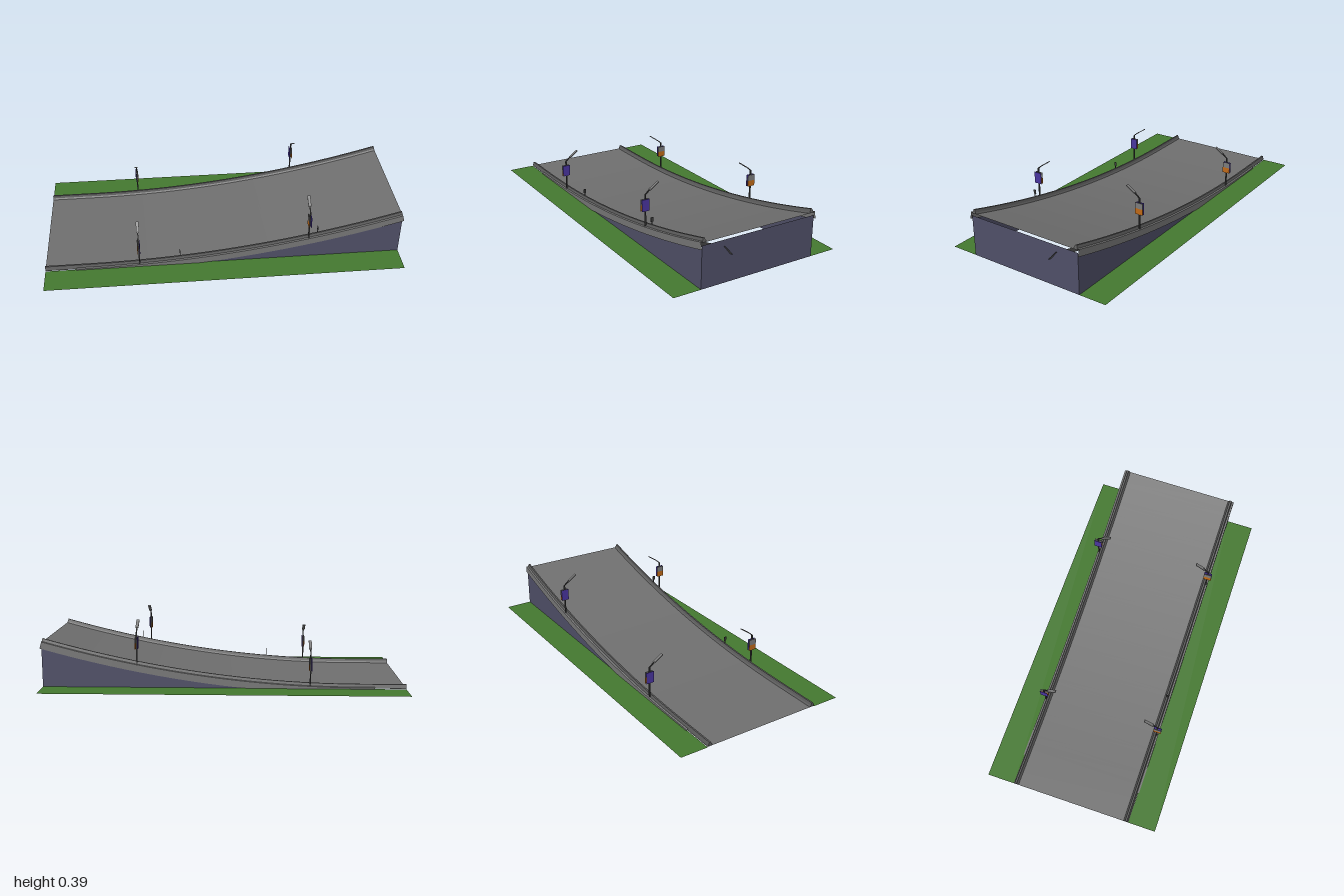
import * as THREE from 'three';

const mat = (name, color, side = THREE.DoubleSide) => {
  const m = new THREE.MeshStandardMaterial({ color, side });
  m.name = name;
  return m;
};

const GROUND = 0.03, END = 0.975, HALF = 0.34;

// Height and slope of the road along x: level, then a rising parabola
const roadY = x => 0.033 + 0.0813 * Math.max(0, x + 0.75) ** 2;
const slope = x => 0.1626 * Math.max(0, x + 0.75);

// Point of the road's cross-section: d is measured square to the road
function station(x, z, d) {
  const s = slope(x), l = Math.hypot(s, 1);
  return [x - (s / l) * d, roadY(x) + d / l, z];
}

// Sweep a [z, d] profile along the road, with hard edges between its sides
function sweep(profile, x0, x1, { floor = -1, cap = false } = {}) {
  const steps = 28, pos = [], idx = [];
  const put = (x, [z, d]) => {
    const p = station(x, z, d);
    p[1] = Math.max(p[1], floor);
    pos.push(...p);
    return pos.length / 3 - 1;
  };
  for (let k = 0; k < profile.length - 1; k++) {
    const base = pos.length / 3;
    for (let i = 0; i <= steps; i++) {
      const x = x0 + ((x1 - x0) * i) / steps;
      put(x, profile[k]);
      put(x, profile[k + 1]);
      if (i < steps) {
        const a = base + 2 * i;
        idx.push(a, a + 2, a + 1, a + 1, a + 2, a + 3);
      }
    }
  }
  if (cap) for (const x of [x0, x1]) {
    const ids = profile.map(p => put(x, p));
    for (let k = 1; k < ids.length - 1; k++) {
      if (x === x1) idx.push(ids[0], ids[k + 1], ids[k]);
      else idx.push(ids[0], ids[k], ids[k + 1]);
    }
  }
  const g = new THREE.BufferGeometry();
  g.setAttribute('position', new THREE.Float32BufferAttribute(pos, 3));
  g.setIndex(idx);
  g.computeVertexNormals();
  return g;
}

const mirror = (profile, side) =>
  side > 0 ? profile : profile.map(([z, d]) => [-z, d]).reverse();

export function createModel() {
  const root = new THREE.Group();
  root.name = 'rampBridge';
  const M = {
    road: mat('asphalt grey', 0x707070),
    barrier: mat('barrier grey', 0x5c5c5c),
    fascia: mat('concrete grey', 0x787878),
    girder: mat('underside grey', 0x686868, THREE.FrontSide),
    wall: mat('abutment slate', 0x505068),
    grass: mat('grass green', 0x457a30),
    metal: mat('dark metal', 0x3c3c3c),
    violet: mat('sign violet', 0x4a35a0),
    grey: mat('sign grey', 0x7c7c7c),
    orange: mat('sign orange', 0xc06a18),
  };
  const add = (name, geo, m, parent = root) => {
    const mesh = new THREE.Mesh(geo, m);
    mesh.name = name;
    parent.add(mesh);
    return mesh;
  };
  const box = (name, size, at, m, parent) => {
    const b = add(name, new THREE.BoxGeometry(...size), m, parent);
    b.position.set(...at);
    return b;
  };

  // Carriageway
  add('roadSurface', sweep([[HALF, 0], [-HALF, 0]], -1, END), M.road);

  // Box girder below: sloping wings, then a trapezoid that stops at the ground
  const wing = [[0.215, -0.046], [HALF, -0.031]];
  for (const s of [1, -1]) add('girderWing', sweep(mirror(wing, s), -0.17, END), M.girder);
  add('girderBox', sweep([[-0.215, -0.046], [-0.175, -0.096], [0.175, -0.096], [0.215, -0.046]],
    -0.17, END, { floor: GROUND }), M.girder);

  // Abutment end wall
  const end = add('endWall', new THREE.PlaneGeometry(2 * HALF, 0.23), M.wall);
  end.rotation.y = Math.PI / 2;
  end.position.set(END, GROUND + 0.115, 0);

  // Side wall outline follows the underside of the deck
  const wallShape = new THREE.Shape();
  wallShape.moveTo(END, GROUND);
  for (let i = 0; i <= 20; i++) {
    const x = END - (i / 20) * (END + 0.17);
    wallShape.lineTo(x, Math.max(GROUND, roadY(x) - 0.031));
  }

  for (const s of [1, -1]) {
    // Crash barrier, edge beam, retaining wall and verge on each side
    add('barrier', sweep(mirror([[0.338, 0], [0.331, 0.022], [0.322, 0.022],
      [0.318, 0.008], [0.312, 0]], s), -1, END, { cap: true }), M.barrier);
    add('edgeBeam', sweep(mirror([[0.346, -0.033], [0.346, 0.005], [0.334, 0.007]], s),
      -0.83, END), M.fascia);
    add('sideWall', new THREE.ShapeGeometry(wallShape), M.wall).position.z = s * HALF;

    const verge = add('grassVerge', new THREE.PlaneGeometry(END + 1, 0.155), M.grass);
    verge.rotation.x = -Math.PI / 2;
    verge.position.set((END - 1) / 2, GROUND, s * 0.4175);

    // Lamp posts: the far-side ones are turned half round
    for (const x of [-0.482, 0.457]) {
      const lamp = new THREE.Group();
      lamp.name = 'lampPost';
      lamp.position.set(x, roadY(x), 0);
      lamp.rotation.y = s > 0 ? 0 : Math.PI;
      root.add(lamp);
      box('post', [0.007, 0.183, 0.007], [0, 0.0915, 0.337], M.metal, lamp);
      const bar = (name, w, t, a, b, m) => {
        const dz = b[0] - a[0], dy = b[1] - a[1];
        const p = box(name, [w, t, Math.hypot(dz, dy)],
          [0, (a[1] + b[1]) / 2, (a[0] + b[0]) / 2], m, lamp);
        p.rotation.x = -Math.atan2(dy, dz);
      };
      bar('arm', 0.006, 0.005, [0.338, 0.182], [0.305, 0.209], M.metal);
      bar('lampHead', 0.016, 0.005, [0.312, 0.203], [0.26, 0.239], M.grey);

      // Two-faced sign: violet one way, grey over orange the other
      box('signFront', [0.003, 0.065, 0.045], [0.006, 0.125, 0.338], M.violet, lamp);
      box('signBackUpper', [0.003, 0.0325, 0.045], [-0.006, 0.1413, 0.338], M.grey, lamp);
      box('signBackLower', [0.003, 0.0325, 0.045], [-0.006, 0.1088, 0.338], M.orange, lamp);
    }
  }

  // Small marker posts on the front barrier
  for (const x of [-0.257, 0.507]) {
    box('markerPost', [0.003, 0.04, 0.005], [x, roadY(x) + 0.03, 0.327], M.metal);
    box('markerPlate', [0.003, 0.024, 0.015], [x, roadY(x) + 0.051, 0.327], M.metal);
  }
  return root;
}
